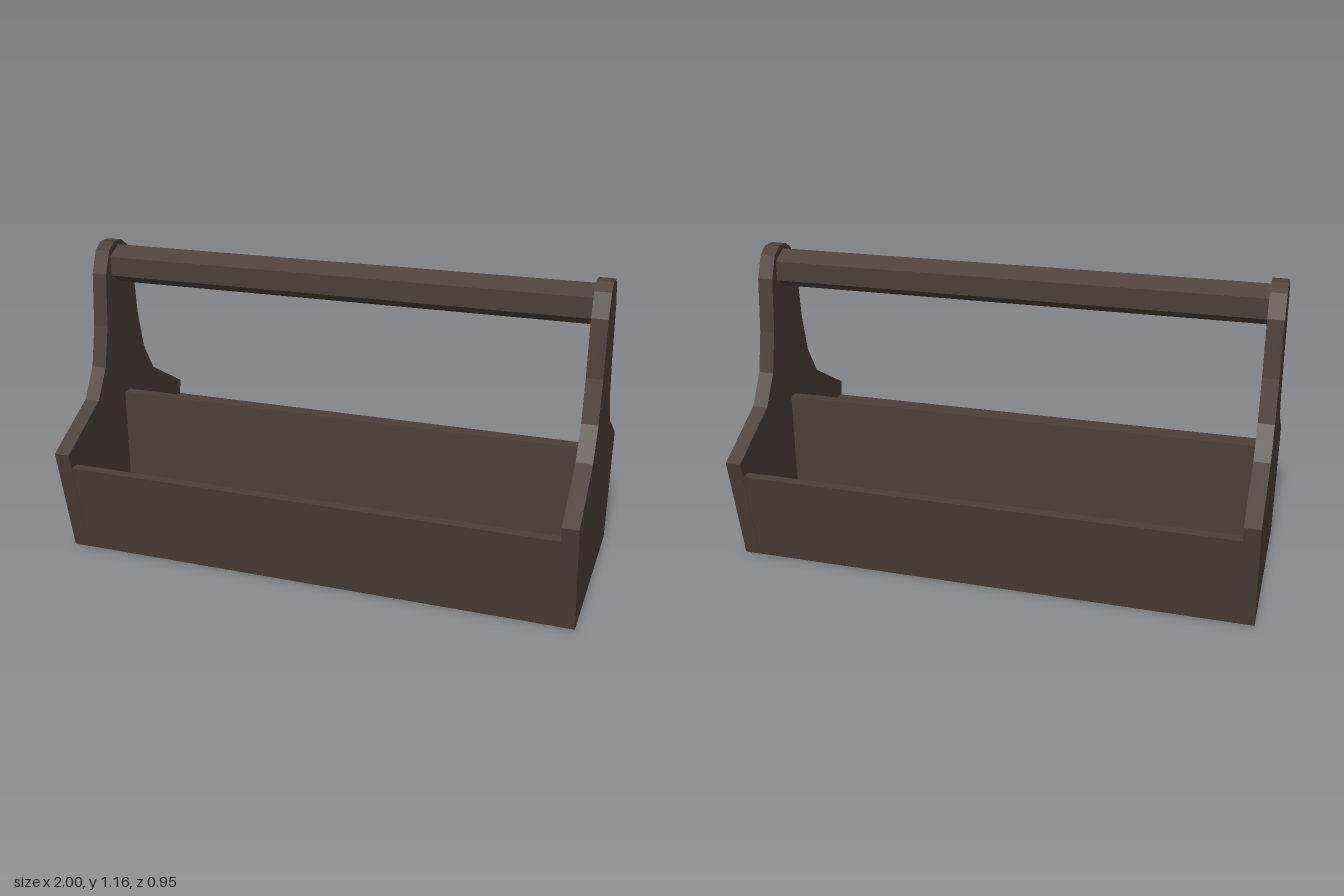
import * as THREE from 'three';

const wood = new THREE.MeshStandardMaterial({ color: 0x4b3f38 });
wood.name = 'darkWood';

const INNER = 0.94; // inner face of the end panels
const OUTER = 1;

// Extrude a [z, y] outline along x, from x0 to x1
function extrudeAlongX(name, outline, x0, x1) {
  const shape = new THREE.Shape(outline.map(([z, y]) => new THREE.Vector2(-z, y)));
  const geometry = new THREE.ExtrudeGeometry(shape, { depth: x1 - x0, bevelEnabled: false });
  geometry.rotateY(Math.PI / 2).translate(x0, 0, 0);
  const mesh = new THREE.Mesh(geometry, wood);
  mesh.name = name;
  return mesh;
}

// Complete a half outline with its mirror image in z
const mirrored = (half) => [...half, ...half.map(([z, y]) => [-z, y]).reverse()];

export function createModel() {
  const model = new THREE.Group();
  model.name = 'toolCaddy';

  // Shaped end panels that carry the handle
  const panel = mirrored([
    [0.385, 0], [0.473, 0.426], [0.229, 0.565], [0.158, 0.683],
    [0.123, 0.84], [0.105, 1.05], [0.07, 1.136], [0.028, 1.163],
  ]);
  model.add(extrudeAlongX('leftEndPanel', panel, INNER, OUTER));
  model.add(extrudeAlongX('rightEndPanel', panel, -OUTER, -INNER));

  // Open tray: floor with two outward leaning walls
  const tray = mirrored([[0.384, 0], [0.459, 0.368], [0.418, 0.368], [0.354, 0.06]]);
  model.add(extrudeAlongX('tray', tray, -INNER, INNER));

  // Upright board along the middle of the tray
  const divider = new THREE.Mesh(new THREE.BoxGeometry(INNER * 2, 0.475, 0.04), wood);
  divider.name = 'divider';
  divider.position.y = 0.2975;
  model.add(divider);

  // Six-sided handle bar with an edge on top
  const hexagon = Array.from({ length: 6 }, (_, i) => {
    const a = (i * Math.PI) / 3;
    return [0.075 * Math.sin(a), 1.074 + 0.075 * Math.cos(a)];
  });
  model.add(extrudeAlongX('handle', hexagon, -INNER, INNER));

  return model;
}
